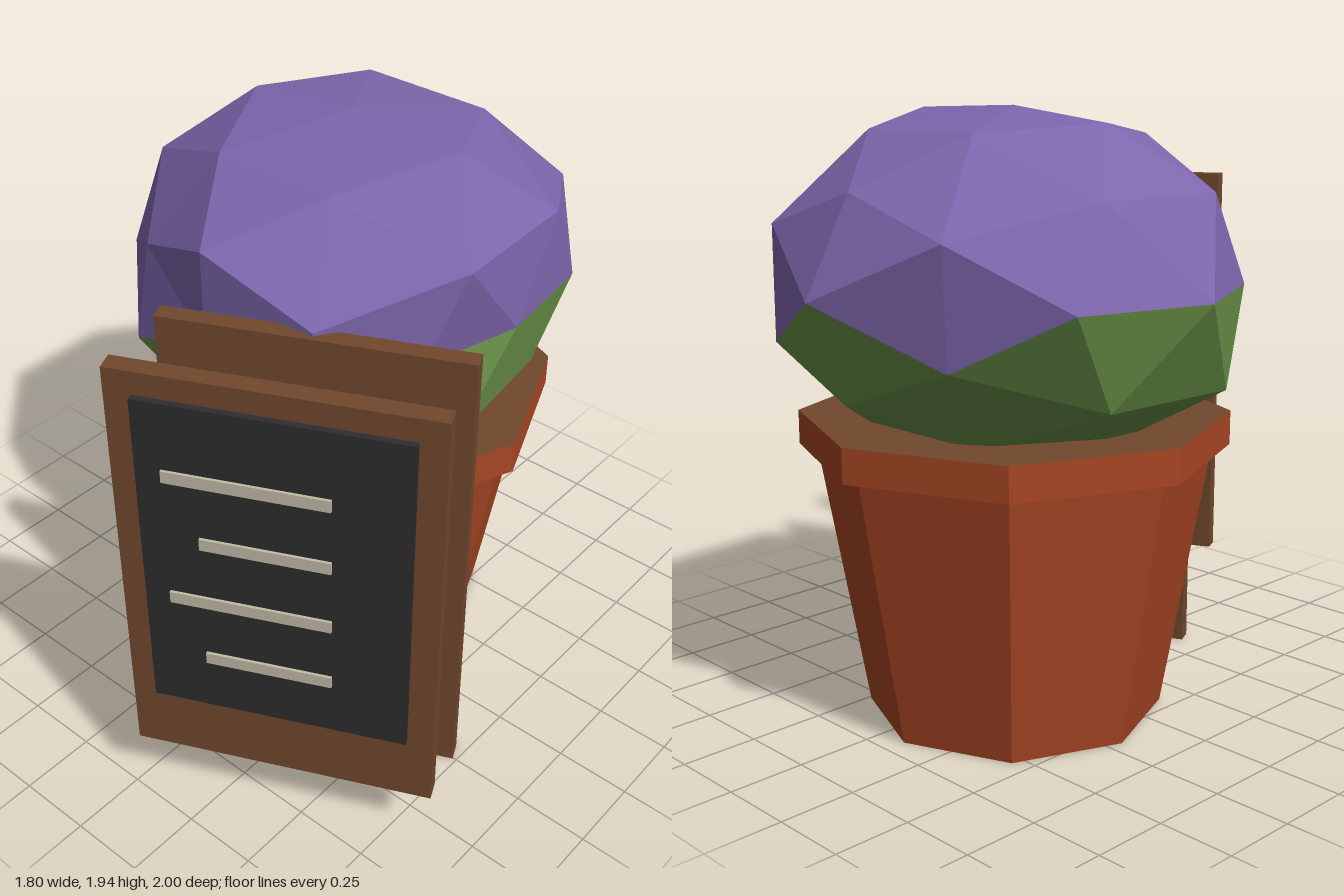
import * as THREE from 'three';

const mat = (name, color) => {
  const m = new THREE.MeshStandardMaterial({ color });
  m.name = name;
  return m;
};

function addMesh(parent, name, geometry, material, x, y, z) {
  const mesh = new THREE.Mesh(geometry, material);
  mesh.name = name;
  mesh.position.set(x, y, z);
  parent.add(mesh);
  return mesh;
}

// Eight-sided tapered solid with faceted sides
function octagon(rTop, rBottom, height) {
  const g = new THREE.CylinderGeometry(rTop, rBottom, height, 8).toNonIndexed();
  g.computeVertexNormals();
  return g;
}

// Uneven radii of the bush: direction x, y, z and radius
const BUMPS = [
  [0, 1, 0, 0.70], [0, 0, -1, 0.80], [-1, 0, 0, 0.805], [1, 0, 0, 0.66], [0, 0, 1, 0.68],
  [0.53, 0.85, 0, 0.80], [0, 0.53, 0.85, 0.80], [0, -0.53, -0.85, 0.79],
  [-0.85, 0, -0.53, 0.81], [-0.85, 0, 0.53, 0.72], [0.85, 0, 0.53, 0.67], [0.85, 0, -0.53, 0.72],
  [0.5, 0.31, 0.81, 0.79], [-0.5, 0.31, 0.81, 0.70], [0.5, 0.31, -0.81, 0.78], [-0.5, 0.31, -0.81, 0.80],
  [0.5, -0.31, -0.81, 0.78], [0.81, 0.5, 0.31, 0.815], [0.81, 0.5, -0.31, 0.77],
  [-0.31, 0.81, 0.5, 0.72], [0.31, 0.81, 0.5, 0.73], [-0.81, -0.5, 0.31, 0.81],
  [-0.81, -0.5, -0.31, 0.80], [0.81, -0.5, 0.31, 0.78], [0.81, -0.5, -0.31, 0.72],
];

function bumpRadius(v) {
  const hit = BUMPS.find(([x, y, z]) => Math.hypot(v.x - x, v.y - y, v.z - z) < 0.05);
  return hit ? hit[3] : 0.755;
}

// Lumpy squashed ball, split by face height into blossom and leaf surfaces
function bushGeometries() {
  const p = new THREE.IcosahedronGeometry(1, 1).attributes.position;
  const upper = [], lower = [];
  for (let i = 0; i < p.count; i += 3) {
    const tri = [0, 1, 2].map(k => new THREE.Vector3().fromBufferAttribute(p, i + k));
    const height = tri[0].y + tri[1].y + tri[2].y;
    const target = height > -0.05 ? upper : lower;
    for (const v of tri) {
      v.multiplyScalar(bumpRadius(v));
      target.push(v.x, v.y * 0.75, v.z);
    }
  }
  return [upper, lower].map(list => {
    const g = new THREE.BufferGeometry();
    g.setAttribute('position', new THREE.Float32BufferAttribute(list, 3));
    g.computeVertexNormals();
    return g;
  });
}

export function createModel() {
  const terracotta = mat('terracotta', 0xa84624);
  const wood = mat('brown wood and soil', 0x71492d);
  const slate = mat('slate', 0x2d2d2d);
  const chalk = mat('chalk', 0xc2bca8);
  const purple = mat('purple blossom', 0x7d66ad);
  const green = mat('green leaves', 0x699148);

  const model = new THREE.Group();
  model.name = 'flowerPotWithSign';

  // Pot with soil-filled rim and bush
  const plant = new THREE.Group();
  plant.name = 'pottedPlant';
  plant.position.set(-0.1, 0, -0.2);
  model.add(plant);
  addMesh(plant, 'potBody', octagon(0.635, 0.48, 0.88), terracotta, 0, 0.44, 0);
  addMesh(plant, 'potRim', octagon(0.69, 0.69, 0.11), [terracotta, wood, wood], 0, 0.932, 0);
  const [blossom, leaves] = bushGeometries();
  addMesh(plant, 'blossom', blossom, purple, 0, 1.42, 0);
  addMesh(plant, 'leaves', leaves, green, 0, 1.42, 0);

  // Two parallel sign boards, turned 25 degrees
  const sign = new THREE.Group();
  sign.name = 'sign';
  sign.position.set(0.455, 0, 0.772);
  sign.rotation.y = THREE.MathUtils.degToRad(25);
  model.add(sign);
  addMesh(sign, 'frontPanel', new THREE.BoxGeometry(0.95, 1.43, 0.06), wood, 0, 0.955, 0);
  addMesh(sign, 'backPanel', new THREE.BoxGeometry(0.95, 1.595, 0.06), wood, 0, 0.7975, -0.38);
  addMesh(sign, 'chalkboard', new THREE.BoxGeometry(0.79, 1.115, 0.02), slate, 0, 1.037, 0.04);

  // Chalk strokes, alternating long and short, flush on the right
  [1.352, 1.13, 0.907, 0.685].forEach((y, i) => {
    const w = i % 2 ? 0.385 : 0.485;
    addMesh(sign, 'chalkLine', new THREE.BoxGeometry(w, 0.04, 0.009), chalk, 0.168 - w / 2, y, 0.0545);
  });

  return model;
}
